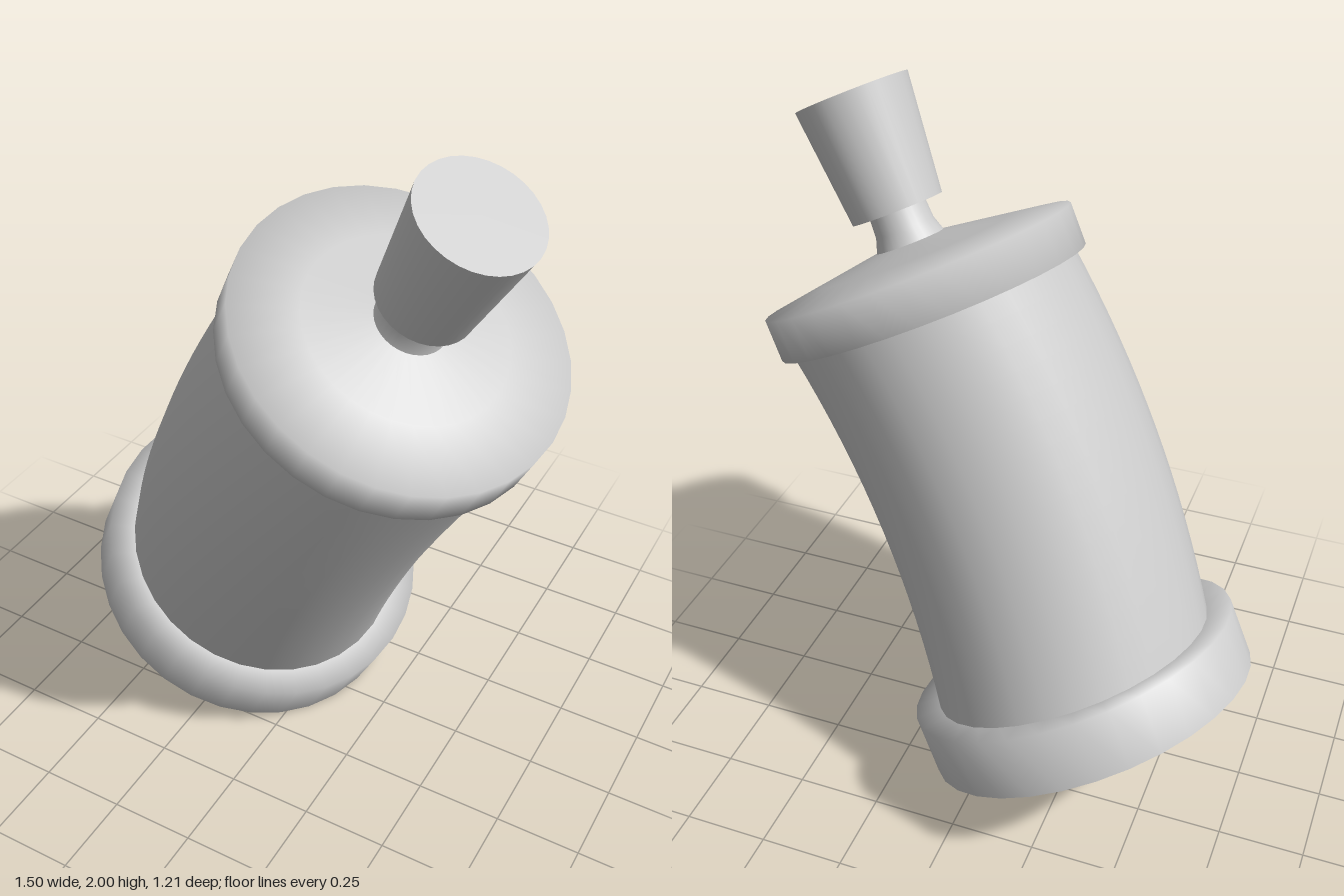
import * as THREE from 'three';

const SEGMENTS = 32;

export function createModel() {
  const model = new THREE.Group();
  const material = new THREE.MeshStandardMaterial({ color: 0xcccccc, side: THREE.DoubleSide });

  // The whole bottle leans along this axis
  const axis = new THREE.Vector3(0.449, 0.873, 0.191).normalize();
  const bottle = new THREE.Group();
  bottle.name = 'leaningBottle';
  bottle.quaternion.setFromUnitVectors(new THREE.Vector3(0, 1, 0), axis);
  bottle.position.set(-0.304, 0.243, -0.118);
  model.add(bottle);

  // Turned part from [radius, height] pairs; a repeated pair makes a sharp edge
  const turned = (name, profile) => {
    const points = profile.map(([r, y]) => new THREE.Vector2(r, y));
    const mesh = new THREE.Mesh(new THREE.LatheGeometry(points, SEGMENTS), material);
    mesh.name = name;
    bottle.add(mesh);
    return mesh;
  };

  // Foot ring with flat underside
  turned('base', [[0, 0], [0.5, 0], [0.5, 0], [0.5, 0.178], [0.4, 0.178], [0, 0.178]]);

  // Body tube, bowed sideways between base and lid
  const y0 = 0.17, y1 = 1.32, rings = 16;
  const wall = [];
  for (let i = 0; i <= rings; i++) wall.push([0.424, y0 + ((y1 - y0) * i) / rings]);
  const body = turned('body', wall);
  const bow = new THREE.Vector3(-0.67, 0.19, 0.72)
    .applyQuaternion(bottle.quaternion.clone().invert())
    .setY(0).normalize().multiplyScalar(0.045);
  const pos = body.geometry.attributes.position;
  for (let i = 0; i < pos.count; i++) {
    const t = (pos.getY(i) - y0) / (y1 - y0);
    const k = 4 * t * (1 - t);
    pos.setX(i, pos.getX(i) + bow.x * k);
    pos.setZ(i, pos.getZ(i) + bow.z * k);
  }
  // Bend the normals with the wall, keeping the seam smooth
  const nor = body.geometry.attributes.normal;
  const n = new THREE.Vector3();
  for (let i = 0; i < nor.count; i++) {
    const t = (pos.getY(i) - y0) / (y1 - y0);
    const slope = (4 * (1 - 2 * t)) / (y1 - y0);
    n.fromBufferAttribute(nor, i);
    n.y -= slope * (bow.x * n.x + bow.z * n.z);
    n.normalize();
    nor.setXYZ(i, n.x, n.y, n.z);
  }

  // Lid with a shallow cone rising into the neck
  turned('lid', [[0, 1.312], [0.4, 1.312], [0.457, 1.312], [0.457, 1.433], [0.28, 1.461], [0.095, 1.49]]);
  turned('neck', [[0.1, 1.488], [0.086, 1.53], [0.082, 1.6]]);

  // Flared stopper
  turned('stopper', [[0, 1.585], [0.133, 1.585], [0.133, 1.585], [0.165, 1.923], [0.165, 1.923], [0, 1.923]]);

  return model;
}
